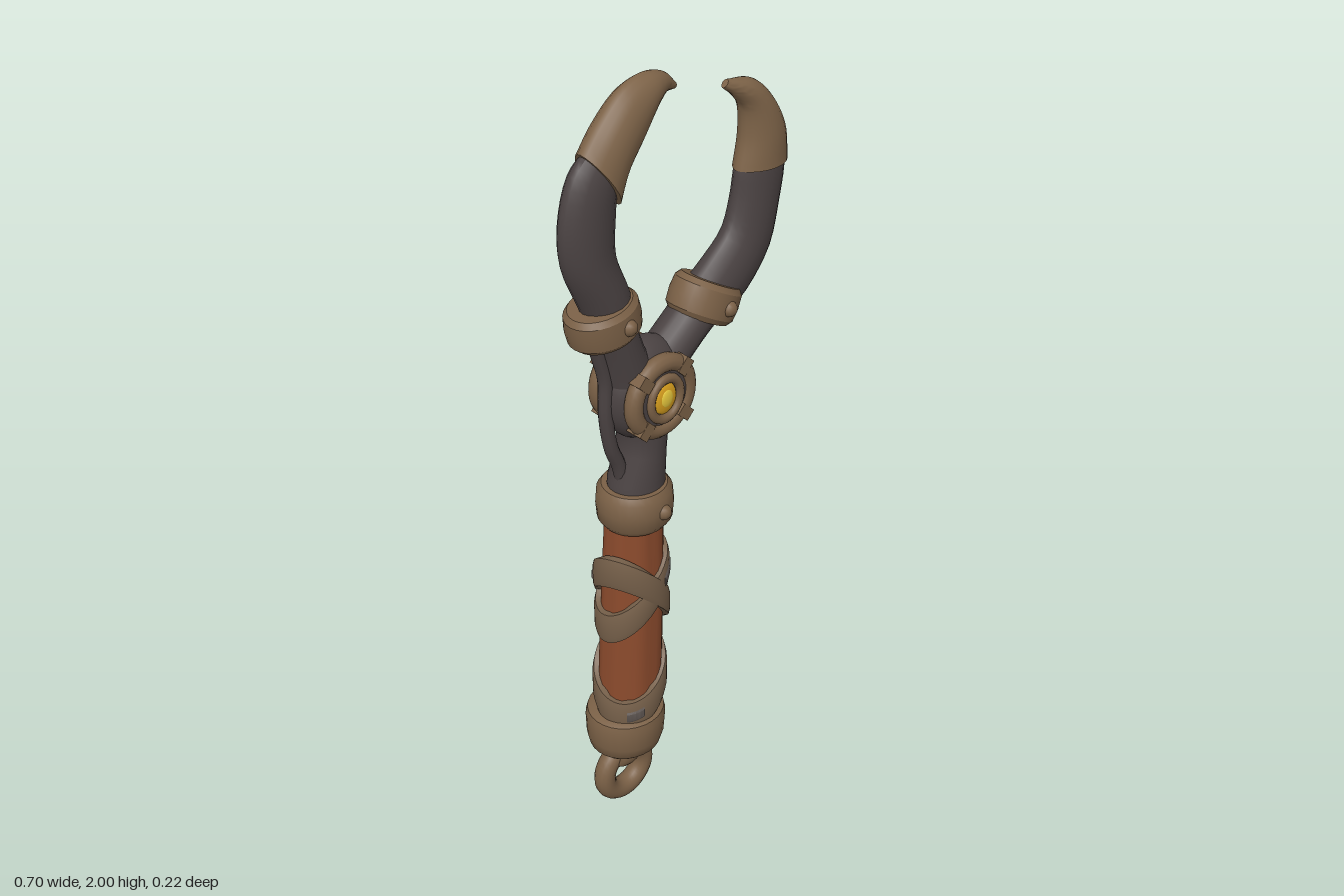
import * as THREE from 'three';
import { toCreasedNormals } from 'three/addons/utils/BufferGeometryUtils.js';

const mat = (name, color, side = THREE.FrontSide) => {
  const m = new THREE.MeshStandardMaterial({ color, side });
  m.name = name;
  return m;
};

// Skin a list of rings (each a list of Vector3), with optional end caps.
function loft(rings, caps = true, crease = 0.7) {
  const n = rings[0].length, pos = [], idx = [];
  rings.forEach(r => r.forEach(p => pos.push(p.x, p.y, p.z)));
  for (let i = 0; i < rings.length - 1; i++) {
    for (let j = 0; j < n; j++) {
      const a = i * n + j, b = i * n + (j + 1) % n;
      idx.push(a, b, a + n, b, b + n, a + n);
    }
  }
  if (caps) [0, rings.length - 1].forEach((i, end) => {
    const c = new THREE.Vector3();
    rings[i].forEach(p => c.addScaledVector(p, 1 / n));
    const k = pos.length / 3;
    pos.push(c.x, c.y, c.z);
    for (let j = 0; j < n; j++) {
      const a = i * n + j, b = i * n + (j + 1) % n;
      if (end) idx.push(a, b, k); else idx.push(b, a, k);
    }
  });
  const g = new THREE.BufferGeometry();
  g.setAttribute('position', new THREE.Float32BufferAttribute(pos, 3));
  g.setIndex(idx);
  return toCreasedNormals(g, crease);
}

// Lens-shaped curved limb; rows are [left x, left y, right x, right y, half depth].
function limb(rows, steps = 24, sides = 20) {
  const L = new THREE.CatmullRomCurve3(rows.map(r => new THREE.Vector3(r[0], r[1], r[4])));
  const R = new THREE.CatmullRomCurve3(rows.map(r => new THREE.Vector3(r[2], r[3], 0)));
  const rings = [];
  for (let i = 0; i <= steps; i++) {
    const l = L.getPoint(i / steps), r = R.getPoint(i / steps), ring = [];
    for (let j = 0; j < sides; j++) {
      const t = j / sides * Math.PI * 2, c = (1 + Math.cos(t)) / 2, s = Math.sin(t);
      ring.push(new THREE.Vector3(l.x + (r.x - l.x) * c, l.y + (r.y - l.y) * c,
        -l.z * s * Math.pow(Math.abs(s), 0.2)));
    }
    rings.push(ring);
  }
  return loft(rings, true, 0.9);
}

// Upright stack of ellipses; rows are [centre x, y, x radius, z radius].
function column(rows, sides = 28, groove = 0) {
  return loft(rows.map(([cx, y, rx, rz]) => Array.from({ length: sides }, (_, j) => {
    const t = j / sides * Math.PI * 2, k = 1 - (j % 4 === 0 ? groove : 0);
    return new THREE.Vector3(cx + rx * k * Math.cos(t), y, -rz * k * Math.sin(t));
  })));
}

// Leather strap around the grip, on a tilted loop; angles run from the front towards +x.
function strap(mid, amp, peak, height, r, from = 0, to = 360) {
  const rings = [], rad = Math.PI / 180, steps = Math.ceil((to - from) / 7.5);
  for (let i = 0; i <= steps; i++) {
    const a = (from + (to - from) * i / steps) * rad;
    const y = mid + amp * Math.cos(a - peak * rad);
    const at = (q, dy) => new THREE.Vector3(
      -0.188 + 0.042 * y + q * Math.sin(a), y + dy, q * 0.93 * Math.cos(a));
    const h = height / 2;
    rings.push([at(r - 0.022, -h), at(r - 0.022, h), at(r - 0.004, h),
      at(r, h * 0.6), at(r, -h * 0.6), at(r - 0.004, -h)]);
  }
  return loft(rings, to - from < 360, 0.5);
}

// Rounded metal band around the y axis.
function band(r, h, inner) {
  const pts = [[inner, -h], [r - 0.015, -h], [r - 0.003, -h * 0.7], [r, 0],
    [r - 0.003, h * 0.7], [r - 0.015, h], [inner, h]];
  return toCreasedNormals(new THREE.LatheGeometry(pts.map(p => new THREE.Vector2(...p)), 28), 0.6);
}

export function createModel() {
  const model = new THREE.Group();
  const bronze = mat('bronze', 0x7a6046), horn = mat('horn', 0x7d6348);
  const iron = mat('dark iron', 0x4a4242), wood = mat('wood', 0x8a4a2c);
  const worn = mat('worn leather', 0x5c5450), leather = mat('leather', 0x76604a);
  const amber = mat('amber', 0xd9a01e), glow = mat('bright amber', 0xf0d040);
  const add = (name, geo, material, x = 0, y = 0, z = 0, parent = model) => {
    const m = new THREE.Mesh(geo, material);
    m.name = name;
    m.position.set(x, y, z);
    parent.add(m);
    return m;
  };

  // Hanging ring and its link
  add('hangingRing', new THREE.TorusGeometry(0.067, 0.028, 14, 36), bronze, -0.2, 0.096);
  const link = add('ringLink', new THREE.TorusGeometry(0.036, 0.014, 12, 24), bronze, -0.208, 0.167);
  link.rotation.y = Math.PI / 2;
  link.scale.z = 2.4;

  // Pommel, wooden grip and straps
  add('pommel', column([[-0.192, 0.185, 0.08, 0.075], [-0.192, 0.2, 0.094, 0.09],
    [-0.191, 0.23, 0.101, 0.099], [-0.189, 0.285, 0.105, 0.101],
    [-0.188, 0.305, 0.1, 0.097], [-0.188, 0.312, 0.085, 0.083]]), bronze);
  add('grip', column([[-0.176, 0.29, 0.084, 0.077], [-0.168, 0.45, 0.084, 0.077],
    [-0.156, 0.7, 0.08, 0.075], [-0.148, 0.9, 0.074, 0.07]], 32, 0.05), wood);
  const loops = [[0.4, 0.07, 130, 0.085, 0.098], [0.67, 0.08, 80, 0.085, 0.095],
    [0.668, 0.1, -70, 0.085, 0.1]];
  loops.forEach(l => add('strap', strap(...l), leather));
  const patches = [[0, -45, -18], [0, 80, 115], [1, 20, 50], [1, 85, 110], [2, 85, 105], [2, 200, 225]];
  patches.forEach(([i, from, to]) => {
    const [mid, amp, peak, , r] = loops[i];
    add('wornPatch', strap(mid, amp, peak, 0.035, r + 0.003, from, to), worn);
  });

  // Iron neck, hub and the thin side strand
  add('neck', column([[-0.142, 0.93, 0.074, 0.068], [-0.138, 1.0, 0.073, 0.067],
    [-0.122, 1.07, 0.058, 0.064], [-0.116, 1.13, 0.056, 0.066], [-0.118, 1.2, 0.08, 0.07]]), iron);
  add('hub', new THREE.SphereGeometry(1, 28, 20), iron, -0.115, 1.235).scale.set(0.118, 0.13, 0.078);
  const strandPath = new THREE.CatmullRomCurve3([[-0.18, 0.97], [-0.195, 1.05], [-0.218, 1.11],
    [-0.232, 1.2], [-0.232, 1.3], [-0.25, 1.37], [-0.275, 1.45]].map(p => new THREE.Vector3(...p, 0)));
  add('strand', new THREE.TubeGeometry(strandPath, 28, 0.018, 10), iron);

  // Gem setting on both faces
  [0, Math.PI].forEach(turn => {
    const g = new THREE.Group();
    g.name = 'gemSetting';
    g.position.set(-0.115, 1.233, 0);
    g.rotation.y = turn;
    model.add(g);
    add('outerRim', new THREE.TorusGeometry(0.085, 0.023, 12, 36), bronze, 0, 0, 0.06, g);
    const back = add('settingBack', new THREE.CylinderGeometry(0.075, 0.075, 0.03, 28), iron, 0, 0, 0.06, g);
    back.rotation.x = Math.PI / 2;
    add('innerRim', new THREE.TorusGeometry(0.047, 0.011, 10, 30), bronze, 0, 0, 0.077, g).scale.y = 1.12;
    add('gem', new THREE.SphereGeometry(1, 16, 10), amber, 0, 0, 0.074, g).scale.set(0.036, 0.041, 0.011);
    add('gemHeart', new THREE.SphereGeometry(1, 12, 8), glow, 0, 0.002, 0.081, g).scale.set(0.02, 0.024, 0.006);
    for (let i = 0; i < 4; i++) {
      const a = Math.PI / 4 + i * Math.PI / 2;
      const clasp = add('clasp', new THREE.BoxGeometry(0.042, 0.03, 0.046), bronze,
        0.088 * Math.cos(a), 0.088 * Math.sin(a), 0.06, g);
      clasp.rotation.z = a;
    }
  });

  // Curved jaws and their horn tips
  add('rightJaw', limb([[-0.21, 1.2, -0.07, 1.25, 0.06], [-0.25, 1.38, -0.14, 1.4, 0.06],
    [-0.295, 1.5, -0.165, 1.52, 0.058], [-0.345, 1.62, -0.2, 1.62, 0.05],
    [-0.35, 1.72, -0.195, 1.72, 0.047], [-0.315, 1.83, -0.19, 1.76, 0.044],
    [-0.26, 1.88, -0.17, 1.8, 0.036]]), iron);
  add('rightJawTip', limb([[-0.285, 1.87, -0.187, 1.725, 0.052], [-0.235, 1.928, -0.165, 1.79, 0.052],
    [-0.165, 1.985, -0.12, 1.85, 0.046], [-0.09, 2.0, -0.075, 1.915, 0.035],
    [-0.04, 1.985, -0.045, 1.938, 0.02], [-0.005, 1.95, -0.012, 1.938, 0.006]]), horn);
  add('leftJaw', limb([[-0.11, 1.32, -0.06, 1.2, 0.06], [0, 1.4, 0.06, 1.3, 0.06],
    [0.05, 1.45, 0.13, 1.335, 0.058], [0.1, 1.49, 0.19, 1.35, 0.055],
    [0.155, 1.54, 0.29, 1.45, 0.05], [0.18, 1.61, 0.325, 1.57, 0.048],
    [0.193, 1.69, 0.342, 1.68, 0.045], [0.215, 1.75, 0.325, 1.75, 0.036]]), iron);
  add('leftJawTip', limb([[0.188, 1.68, 0.35, 1.675, 0.051], [0.205, 1.76, 0.335, 1.765, 0.05],
    [0.2, 1.83, 0.285, 1.85, 0.04], [0.175, 1.865, 0.23, 1.895, 0.028],
    [0.14, 1.895, 0.155, 1.912, 0.008]]), horn);

  // Riveted collars: [name, x, y, tilt, radius, half height, depth scale]
  [['gripCollar', -0.145, 0.928, 0, 0.096, 0.054, 0.98],
    ['rightJawCollar', -0.234, 1.46, 0.17, 0.095, 0.044, 0.84],
    ['leftJawCollar', 0.087, 1.39, -0.5, 0.096, 0.046, 0.82]].forEach(([name, x, y, tilt, r, h, d]) => {
    const g = new THREE.Group();
    g.name = name;
    g.position.set(x, y, 0);
    g.rotation.z = tilt;
    model.add(g);
    add('band', band(r, h, 0.05), bronze, 0, 0, 0, g).scale.z = d;
    [-1, 1].forEach(s => add('rivet', new THREE.SphereGeometry(0.02, 12, 8), bronze, 0.012, 0, s * (r * d - 0.006), g));
  });

  return model;
}
